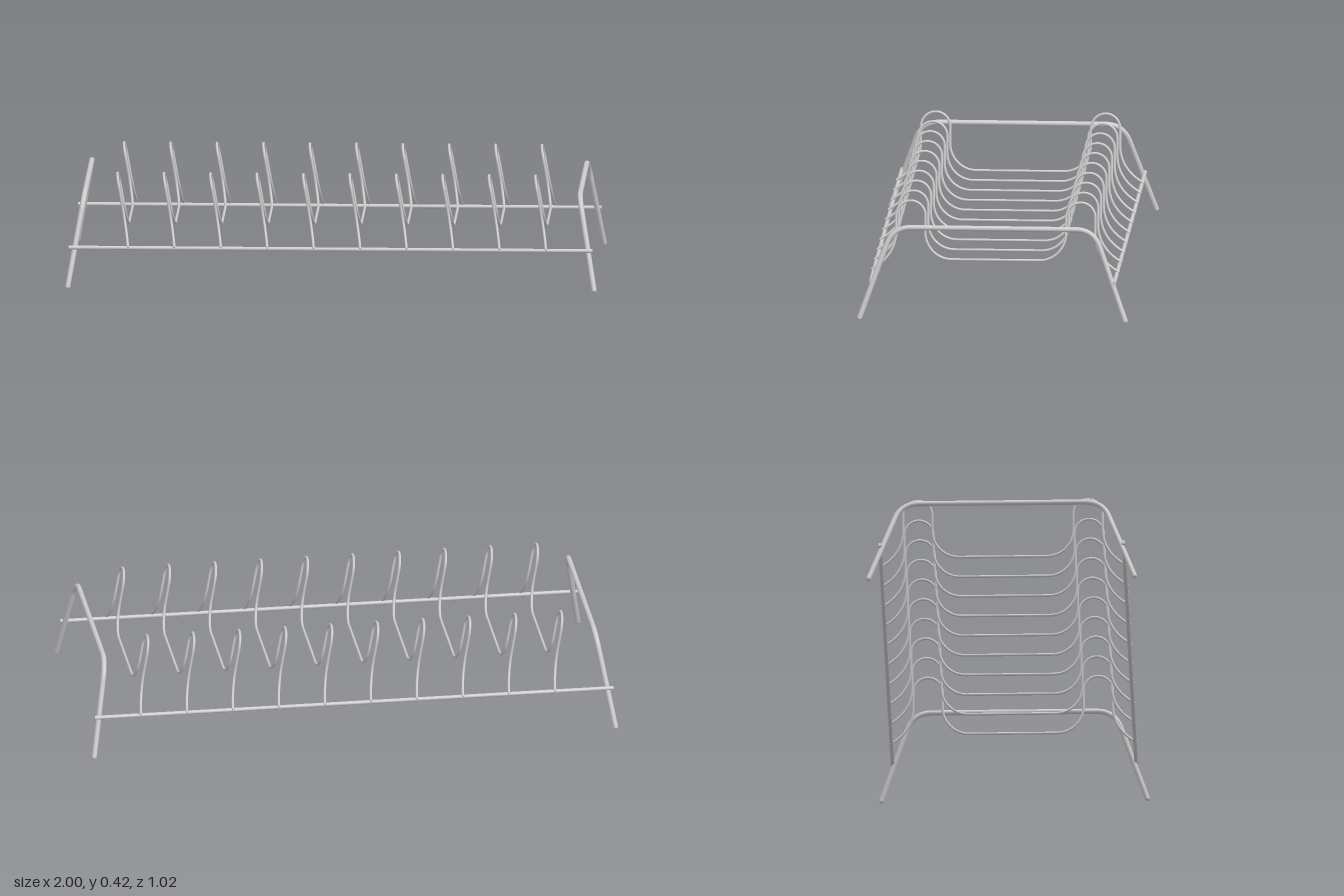
import * as THREE from 'three';
import { mergeGeometries } from 'three/addons/utils/BufferGeometryUtils.js';

const material = new THREE.MeshStandardMaterial({ color: 0xcccccc });
const LEAN = 0.176; // sideways lean of frames and dividers per unit of height

// A path drawn in (z, y), placed in a plane that leans along x
class LeaningCurve extends THREE.Curve {
  constructor(path, x0, y0, lean) {
    super();
    Object.assign(this, { path, x0, y0, lean });
  }
  getPoint(t, target = new THREE.Vector3()) {
    const p = this.path.getPoint(t);
    return target.set(this.x0 + this.lean * (p.y - this.y0), p.y, p.x);
  }
}

// Round wire along a curve, closed by a dome at each end
function wireGeometry(curve, radius, segments, sides) {
  const parts = [new THREE.TubeGeometry(curve, segments, radius, sides)];
  for (const t of [0, 1]) {
    const outward = curve.getTangentAt(t).multiplyScalar(t ? 1 : -1);
    const turn = new THREE.Quaternion().setFromUnitVectors(new THREE.Vector3(0, 1, 0), outward);
    const p = curve.getPointAt(t);
    parts.push(new THREE.SphereGeometry(radius, sides, 5, 0, Math.PI * 2, 0, Math.PI / 2)
      .applyQuaternion(turn).translate(p.x, p.y, p.z));
  }
  return mergeGeometries(parts);
}

// End frame: splayed legs joined by a top bar with rounded corners
function framePath() {
  const path = new THREE.Path();
  path.moveTo(0.5, 0.01);
  path.lineTo(0.402, 0.281);
  path.bezierCurveTo(0.387, 0.323, 0.357, 0.346, 0.31, 0.346);
  path.lineTo(-0.31, 0.346);
  path.bezierCurveTo(-0.357, 0.346, -0.387, 0.323, -0.402, 0.281);
  path.lineTo(-0.5, 0.01);
  return path;
}

// Divider: two tall loops with a sunken middle
function dividerPath() {
  const path = new THREE.Path();
  path.moveTo(0.464, 0.159);
  path.quadraticCurveTo(0.375, 0.208, 0.375, 0.3);
  path.lineTo(0.375, 0.358);
  path.absarc(0.32, 0.358, 0.055, 0, Math.PI, false);
  path.lineTo(0.265, 0.297);
  path.absarc(0.165, 0.297, 0.1, 0, -Math.PI / 2, true);
  path.lineTo(-0.165, 0.197);
  path.absarc(-0.165, 0.297, 0.1, -Math.PI / 2, -Math.PI, true);
  path.lineTo(-0.265, 0.358);
  path.absarc(-0.32, 0.358, 0.055, 0, Math.PI, false);
  path.lineTo(-0.375, 0.3);
  path.quadraticCurveTo(-0.375, 0.208, -0.464, 0.159);
  return path;
}

export function createModel() {
  const group = new THREE.Group();
  const add = (name, geometry) => {
    const mesh = new THREE.Mesh(geometry, material);
    mesh.name = name;
    group.add(mesh);
    return mesh;
  };

  // End frames lean inward, long rails join their legs
  for (const side of [1, -1]) {
    const frame = new LeaningCurve(framePath(), side * 0.99, 0.01, -side * LEAN);
    add(side > 0 ? 'leftEndFrame' : 'rightEndFrame', wireGeometry(frame, 0.01, 140, 16));

    const rail = add(side > 0 ? 'frontRail' : 'backRail',
      new THREE.CylinderGeometry(0.0075, 0.0075, 1.97, 16).rotateZ(Math.PI / 2));
    rail.position.set(-0.003, 0.152, side * 0.458);
  }

  // Row of dividers, all leaning the same way
  const count = 10;
  for (let i = 0; i < count; i++) {
    const x = -0.765 + i * 0.1747;
    const divider = new LeaningCurve(dividerPath(), x, 0.158, -LEAN);
    add(`divider${i + 1}`, wireGeometry(divider, 0.005, 180, 10));
  }
  return group;
}
